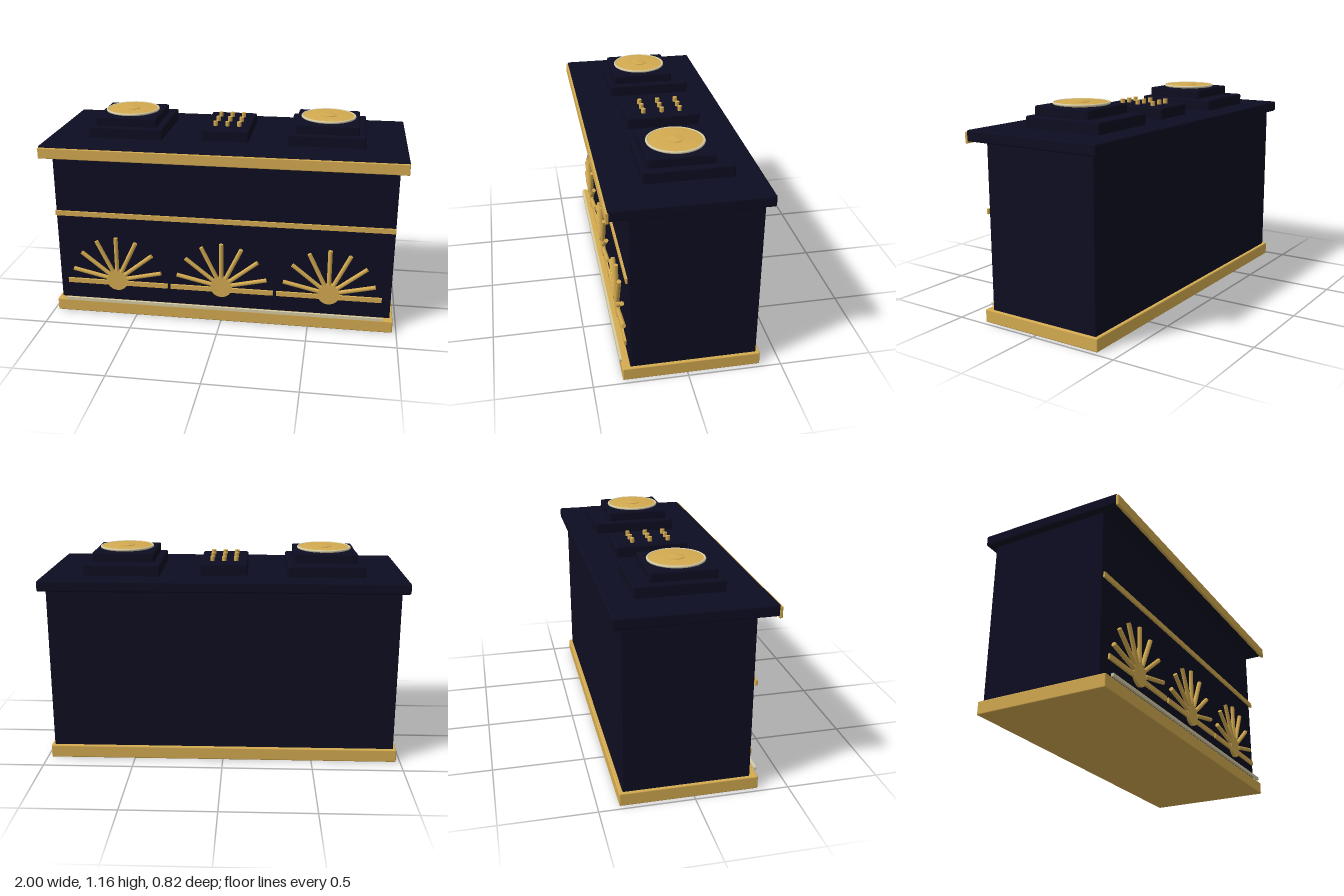
import * as THREE from 'three';
import { RoundedBoxGeometry } from 'three/addons/geometries/RoundedBoxGeometry.js';

export function createModel() {
  const model = new THREE.Group();
  model.name = 'counter';

  const makeMaterial = (name, color) => {
    const m = new THREE.MeshStandardMaterial({ color });
    m.name = name;
    return m;
  };
  const navy = makeMaterial('navy', 0x0d0d22);
  const gold = makeMaterial('gold', 0xd4ab50);
  const pale = makeMaterial('pale brass', 0xd6cca6);

  const add = (parent, name, geometry, material, x = 0, y = 0, z = 0) => {
    const mesh = new THREE.Mesh(geometry, material);
    mesh.name = name;
    mesh.position.set(x, y, z);
    parent.add(mesh);
    return mesh;
  };

  // Box given by its limits; r > 0 softens the edges
  const box = (parent, name, material, [x0, x1], [y0, y1], [z0, z1], r = 0) => {
    const size = [x1 - x0, y1 - y0, z1 - z0];
    const geometry = r
      ? new RoundedBoxGeometry(...size, 2, r)
      : new THREE.BoxGeometry(...size);
    return add(parent, name, geometry, material, (x0 + x1) / 2, (y0 + y1) / 2, (z0 + z1) / 2);
  };

  // Cabinet
  box(model, 'plinth', gold, [-0.977, 0.977], [0, 0.072], [-0.39, 0.342], 0.006);
  box(model, 'body', navy, [-0.96, 0.96], [0.06, 0.98], [-0.37, 0.3], 0.006);
  box(model, 'worktop', navy, [-1, 1], [0.972, 1.032], [-0.41, 0.4], 0.01);

  // Front trim
  box(model, 'worktopTrim', gold, [-1, 1], [0.962, 1.022], [0.394, 0.411], 0.004);
  box(model, 'frontBand', gold, [-0.96, 0.96], [0.594, 0.622], [0.307, 0.318]);
  box(model, 'plinthStrip', pale, [-0.92, 0.92], [0.074, 0.091], [0.338, 0.351]);

  // Sunburst ornaments: hub, base bar and seven fanned rays
  const rayGeometry = new THREE.CylinderGeometry(0.0125, 0.0125, 0.205, 8);
  const hubGeometry = new THREE.CylinderGeometry(0.063, 0.063, 0.016, 24).rotateX(Math.PI / 2);
  for (const x of [-0.612, 0, 0.612]) {
    const sunburst = new THREE.Group();
    sunburst.name = 'sunburst';
    sunburst.position.set(x, 0.208, 0.317);
    model.add(sunburst);
    add(sunburst, 'hub', hubGeometry, gold);
    box(sunburst, 'baseBar', gold, [-0.297, 0.297], [-0.033, -0.006], [-0.006, 0.006]);
    for (let i = 0; i < 7; i++) {
      const a = ((i + 0.5) * Math.PI) / 7;
      const ray = add(sunburst, 'ray', rayGeometry, gold,
        0.163 * Math.cos(a), 0.163 * Math.sin(a), 0.002);
      ray.rotation.z = a - Math.PI / 2;
    }
  }

  // Turned disc with softly shaded edge
  const disc = (r, y0, y1) => new THREE.LatheGeometry(
    [[r, y0], [r, y1], [0, y1 + 0.001]].map(p => new THREE.Vector2(...p)), 40);
  const plateGeometry = disc(0.143, 0, 0.012);
  const bossGeometry = disc(0.042, 0, 0.006);
  const rimGeometry = new THREE.TorusGeometry(0.146, 0.007, 8, 48).rotateX(Math.PI / 2);

  // Stepped stands with round plates
  for (const x of [-0.562, 0.562]) {
    const stand = new THREE.Group();
    stand.name = 'stand';
    stand.position.x = x;
    model.add(stand);
    box(stand, 'lowerStep', navy, [-0.212, 0.212], [1.025, 1.094], [-0.268, 0.2], 0.01);
    box(stand, 'upperStep', navy, [-0.174, 0.174], [1.088, 1.145], [-0.177, 0.17], 0.01);
    add(stand, 'plate', plateGeometry, gold, 0, 1.146, -0.005);
    add(stand, 'plateRim', rimGeometry, pale, 0, 1.154, -0.005);
    add(stand, 'plateBoss', bossGeometry, gold, 0, 1.158, -0.005);
  }

  // Central pad with a grid of studs
  box(model, 'studPad', navy, [-0.132, 0.132], [1.025, 1.095], [-0.233, 0.174], 0.01);
  const studGeometry = new THREE.CylinderGeometry(0.0125, 0.0125, 0.03, 10);
  for (const x of [-0.067, 0, 0.067]) {
    for (const z of [-0.132, -0.03, 0.073]) {
      add(model, 'stud', studGeometry, gold, x, 1.106, z);
    }
  }

  return model;
}
